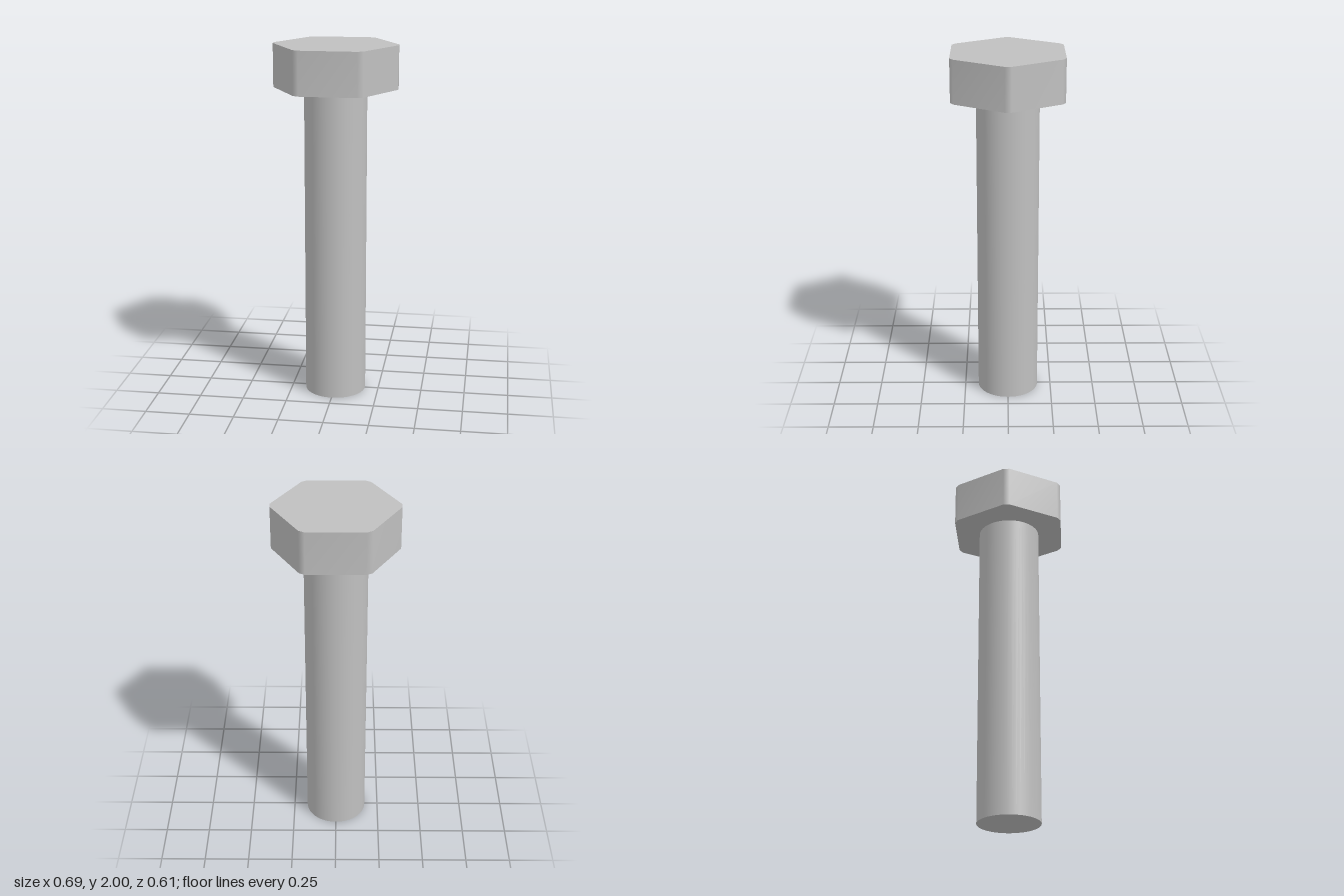
import * as THREE from 'three';
import { mergeVertices } from 'three/addons/utils/BufferGeometryUtils.js';

const HEIGHT = 2, HEAD_HEIGHT = 0.24, APOTHEM = 0.306, CORNER = 0.343, SHAFT_RADIUS = 0.173;

// Hexagonal prism whose six vertical corners are cut by narrow chamfers
function hexHeadGeometry() {
  const geometry = new THREE.CylinderGeometry(1, 1, HEAD_HEIGHT, 12, 1, false, Math.PI / 12);
  const halfChamfer = (APOTHEM * 2 / Math.sqrt(3) - CORNER) * Math.sqrt(3);
  const delta = Math.atan2(halfChamfer, CORNER);
  const radius = Math.hypot(halfChamfer, CORNER);
  const sector = Math.PI / 3;
  geometry.deleteAttribute('uv');
  const merged = mergeVertices(geometry);
  const p = merged.attributes.position;
  for (let i = 0; i < p.count; i++) {
    const x = p.getX(i), z = p.getZ(i);
    if (Math.hypot(x, z) < 0.5) continue; // cap centres
    // Pull each vertex in towards the nearest hexagon corner
    const angle = Math.atan2(x, z);
    const corner = (Math.floor(angle / sector) + 0.5) * sector;
    const a = corner + Math.sign(angle - corner) * delta;
    p.setX(i, Math.sin(a) * radius);
    p.setZ(i, Math.cos(a) * radius);
  }
  merged.computeVertexNormals();
  return merged;
}

export function createModel() {
  const model = new THREE.Group();
  model.name = 'hexBolt';
  const steel = new THREE.MeshStandardMaterial({ color: 0xc0c0c0 });
  steel.name = 'steel grey';

  // Hexagonal head
  const head = new THREE.Mesh(hexHeadGeometry(), steel);
  head.name = 'head';
  head.position.y = HEIGHT - HEAD_HEIGHT / 2;

  // Plain round shaft, meeting the underside of the head
  const shaftHeight = HEIGHT - HEAD_HEIGHT;
  const shaft = new THREE.Mesh(
    new THREE.CylinderGeometry(SHAFT_RADIUS, SHAFT_RADIUS, shaftHeight, 48), steel);
  shaft.name = 'shaft';
  shaft.position.y = shaftHeight / 2;

  model.add(head, shaft);
  return model;
}
